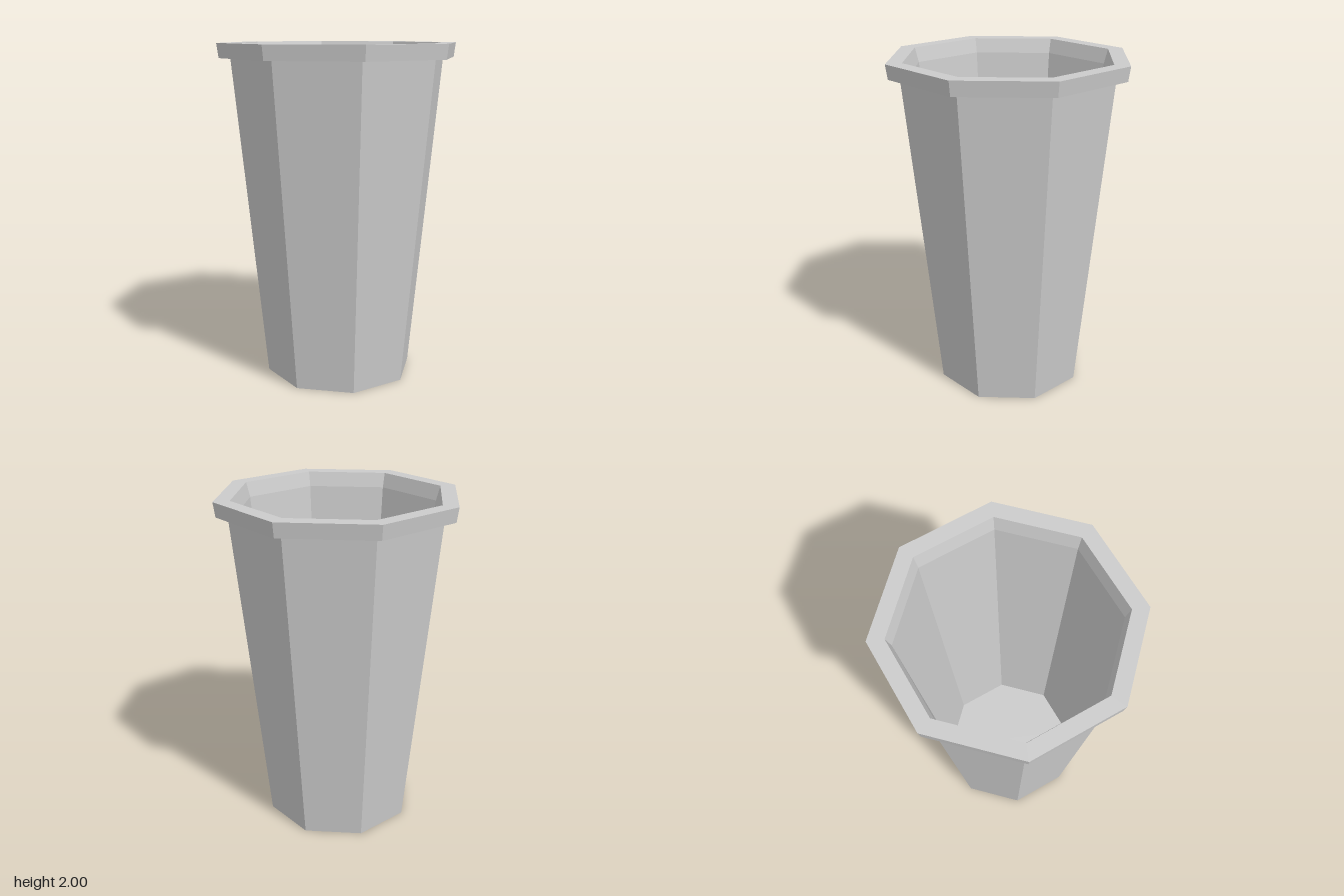
import * as THREE from 'three';

const SIDES = 8;
const material = new THREE.MeshStandardMaterial({ color: 0xcccccc, flatShading: true });

// Eight-sided shell from a [radius, height] profile
function facetedShell(name, profile) {
  const points = profile.map(([r, y]) => new THREE.Vector2(r, y));
  const mesh = new THREE.Mesh(new THREE.LatheGeometry(points, SIDES), material);
  mesh.name = name;
  return mesh;
}

export function createModel() {
  const group = new THREE.Group();
  group.name = 'taperedCup';

  // Underside and tapered outer wall
  group.add(facetedShell('outerWall', [[0, 0], [0.446, 0], [0.635, 1.915]]));

  // Flared rim, closed over the top of the wall and sloping inwards
  group.add(facetedShell('rim', [
    [0.635, 1.915], [0.701, 1.915], [0.713, 2], [0.619, 2], [0.595, 1.915],
  ]));

  // Inner wall and floor
  group.add(facetedShell('innerWall', [[0.595, 1.915], [0.415, 0.05], [0, 0.05]]));

  return group;
}
